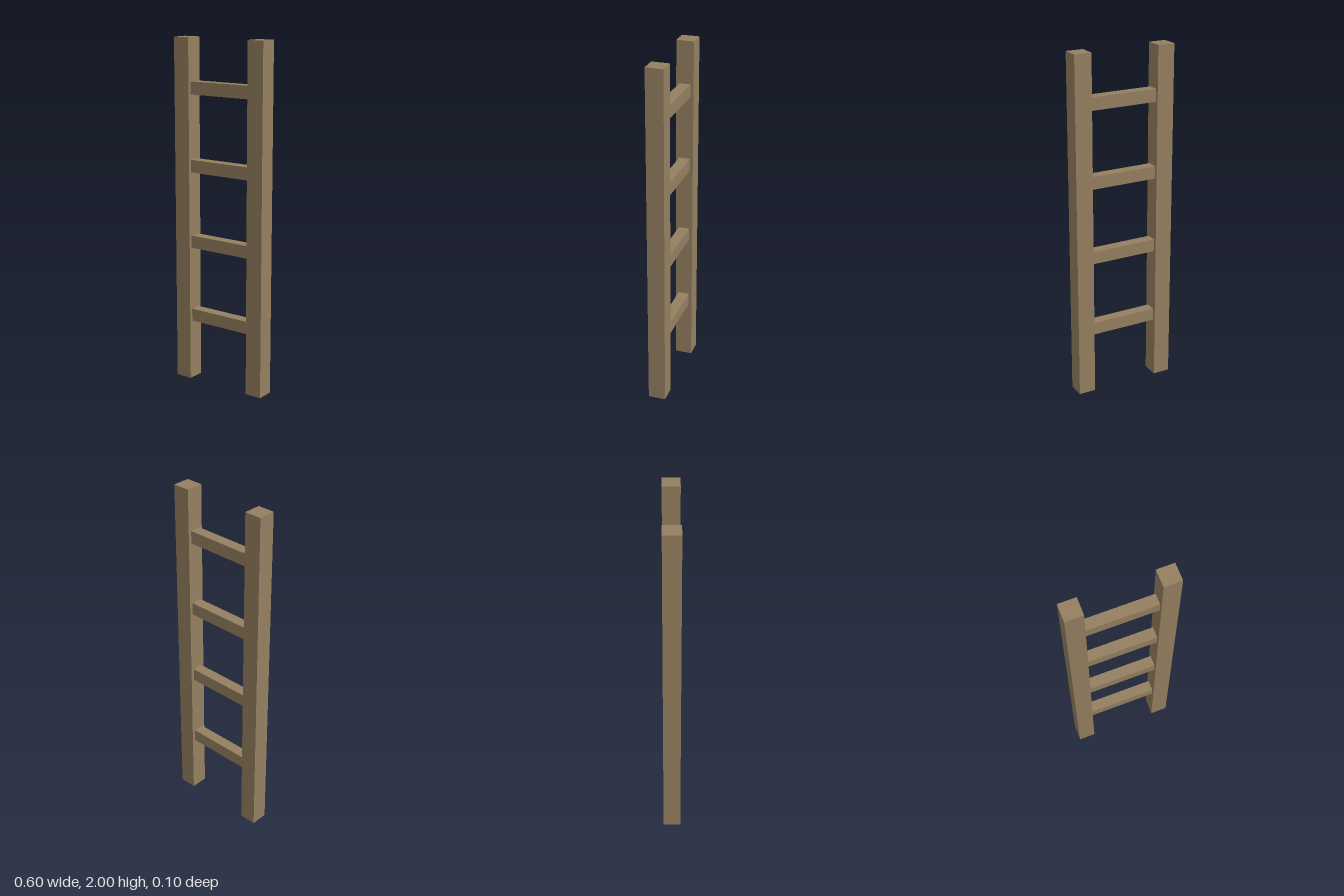
import * as THREE from 'three';

export function createModel() {
  const ladder = new THREE.Group();
  ladder.name = 'ladder';
  const wood = new THREE.MeshStandardMaterial({ color: 0x948060 });

  function addBeam(name, width, height, depth, x, y) {
    const beam = new THREE.Mesh(new THREE.BoxGeometry(width, height, depth), wood);
    beam.name = name;
    beam.position.set(x, y, 0);
    ladder.add(beam);
  }

  // Two square upright rails
  addBeam('leftRail', 0.1, 2, 0.1, 0.25, 1);
  addBeam('rightRail', 0.1, 2, 0.1, -0.25, 1);

  // Four evenly spaced rungs between the rails
  for (let i = 0; i < 4; i++) {
    addBeam(`rung${i + 1}`, 0.4, 0.073, 0.063, 0, 0.392 + i * 0.443);
  }

  return ladder;
}
